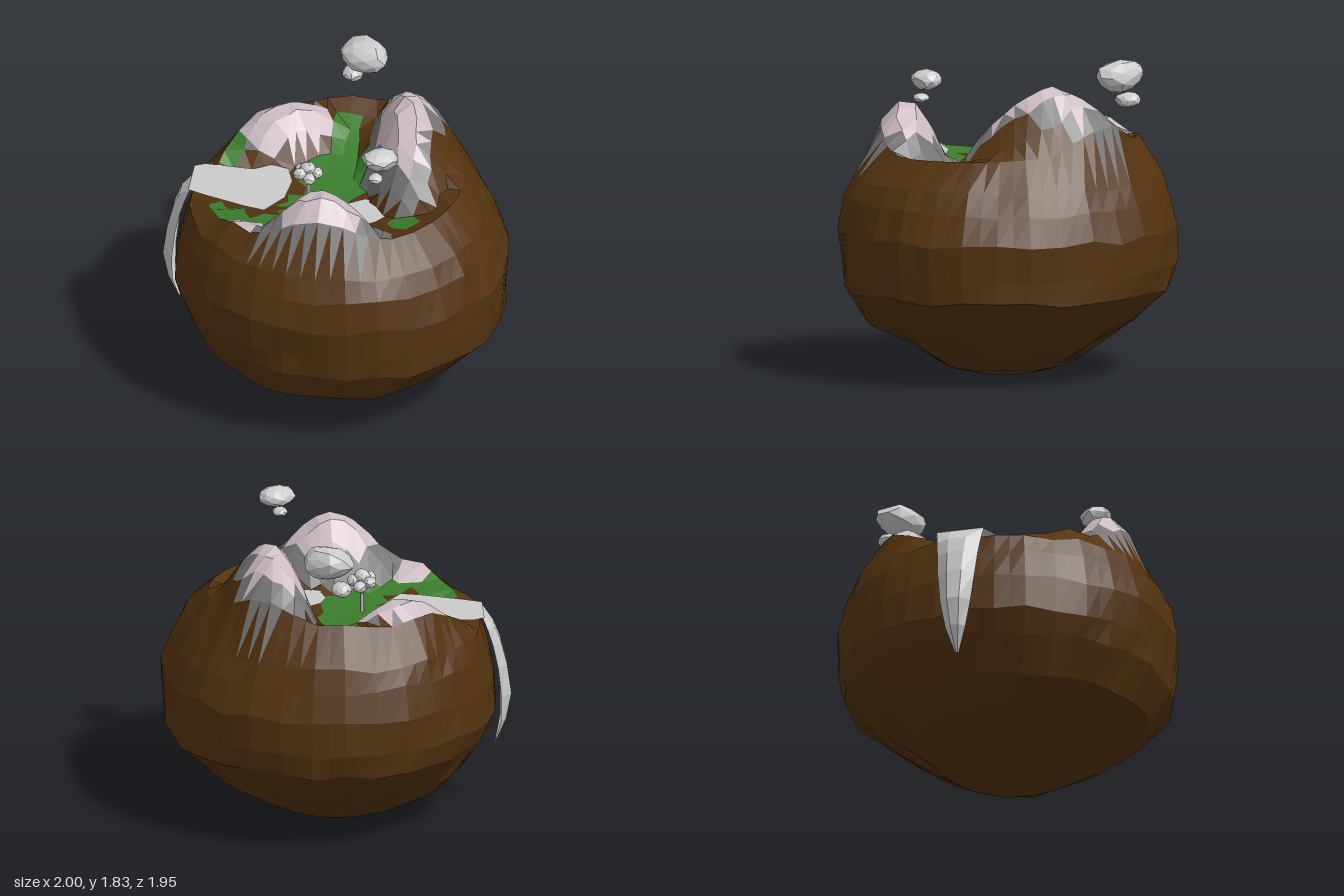
import * as THREE from 'three';

const N = 16, SEG = N * 4, RIM = 0.74;
const hash = (a, b, c = 0) => {
  const s = Math.sin(a * 127.1 + b * 311.7 + c * 74.7) * 43758.5453;
  return (s - Math.floor(s)) * 2 - 1;
};
const material = (color, side = THREE.FrontSide) =>
  new THREE.MeshStandardMaterial({ color, flatShading: true, side });

// Side rows: height, then radius towards +x, +z, -x, -z
const SIDE = [
  [0.01, 0.18, 0.2, 0.1, 0.15], [0.06, 0.39, 0.37, 0.41, 0.34],
  [0.19, 0.65, 0.56, 0.62, 0.52], [0.32, 0.79, 0.82, 0.75, 0.72],
  [0.52, 0.98, 0.93, 0.86, 0.92], [0.65, 0.985, 0.95, 0.92, 0.96],
  [0.86, 1.0, 0.97, 0.91, 0.97], [1.03, 0.93, 0.94, 0.87, 0.92],
  [1.15, 0.86, 0.88, 0.83, 0.88],
];
// Rim height every 45 degrees, starting at +x and turning to +z
const RIM_Y = [1.32, 1.3, 1.31, 1.24, 1.17, 1.31, 1.39, 1.36];

// Peaks: centre, half length, inner and outer half width, angle, height, snow and rock limits
const PEAKS = [
  { x: 0.37, z: -0.22, a: 0.51, b: 0.23, out: 0.32, turn: 1.35, h: 0.49, snow: 0.66, rock: 0.95 },
  { x: -0.01, z: 0.58, a: 0.36, b: 0.23, out: 0.23, turn: 0, h: 0.33, snow: 0.7, rock: 1.1 },
  { x: -0.34, z: -0.46, a: 0.33, b: 0.2, out: 0.2, turn: -0.42, h: 0.19, snow: 0.78, rock: 0.84 },
  { x: -0.47, z: 0.53, a: 0.16, b: 0.12, out: 0.12, turn: 0, h: 0.05, snow: 0.95, rock: 0.95 },
];
// Grass patches: centre x, z and half sizes
const GRASS = [
  [0, -0.5, 0.09, 0.14], [-0.02, -0.15, 0.19, 0.24], [-0.11, 0.15, 0.18, 0.23],
  [-0.26, 0.37, 0.19, 0.11], [-0.65, 0.33, 0.18, 0.15], [0.45, 0.33, 0.09, 0.13],
  [-0.68, -0.3, 0.14, 0.08],
];

function reach(p, x, z) {
  const c = Math.cos(p.turn), s = Math.sin(p.turn), dx = x - p.x, dz = z - p.z;
  const across = dz * c - dx * s;
  return Math.hypot((dx * c + dz * s) / p.a, across / (across < 0 ? p.out : p.b));
}

// Bowl-shaped plateau plus the peaks, with a bed for the large lake
function height(x, z) {
  const t = ((Math.atan2(z, x) / (Math.PI / 4)) + 8) % 8, k = Math.floor(t);
  const rim = THREE.MathUtils.lerp(RIM_Y[k % 8], RIM_Y[(k + 1) % 8], t - k);
  let y = THREE.MathUtils.lerp(1.16, rim, Math.min(1, Math.hypot(x, z) / RIM) ** 2);
  for (const p of PEAKS) y += p.h * Math.max(0, 1 - reach(p, x, z) ** 1.6);
  return x < -0.25 && Math.abs(z) < 0.22 ? Math.min(y, 1.17) : y;
}

function groundType(x, y, z) {
  if (y < 1 || (y < 1.25 && Math.hypot(x, z) > 0.73)) return 'soil';
  for (const p of PEAKS) {
    const e = reach(p, x, z);
    if (e < p.snow && x < 0.51) return 'snow';
    if (e < p.rock && x < 0.57) return 'rock';
  }
  return GRASS.some(([gx, gz, a, b]) => Math.hypot((x - gx) / a, (z - gz) / b) < 1) ? 'grass' : 'soil';
}

// Square grid coordinates (-1 to 1) bent onto a disc
function onDisc(a, b) {
  if (!a && !b) return [0, 0];
  const wide = Math.abs(a) > Math.abs(b), r = wide ? a : b;
  const t = wide ? (Math.PI / 4) * (b / a) : Math.PI / 2 - (Math.PI / 4) * (a / b);
  return [r * Math.cos(t), r * Math.sin(t)];
}

// Every other corner of a ring is the midpoint of its neighbours, for broad facets
function ring(place) {
  const row = Array.from({ length: SEG }, (_, j) => place((j / SEG) * Math.PI * 2, j));
  for (let j = 1; j < SEG; j += 2) row[j].lerpVectors(row[j - 1], row[(j + 1) % SEG], 0.5);
  return row;
}

function buildIsland(group) {
  const faces = { soil: [], grass: [], rock: [], snow: [] };
  const tri = (a, b, c) => {
    const m = a.clone().add(b).add(c).divideScalar(3);
    const list = faces[groundType(m.x, m.y, m.z)];
    for (const v of [a, b, c]) list.push(v.x, v.y, v.z);
  };

  // Boulder side, from the underside up to the rim
  const rows = [ring(() => new THREE.Vector3(0.04, 0, 0.03))];
  SIDE.forEach(([y, px, pz, nx, nz], i) => rows.push(ring((t, j) => {
    const c = Math.cos(t), s = Math.sin(t);
    let r = (c > 0 ? px : nx) * c * c + (s > 0 ? pz : nz) * s * s + 0.01 * hash(i, j);
    if (c > 0 && s > 0) r += (i > 3 ? 0.1 : 0.06) * c * s;
    return new THREE.Vector3(r * c, y + (i > 1 ? 0.02 * hash(j, i, 2) : 0), r * s);
  })));
  const rim = ring((t) => {
    const x = RIM * Math.cos(t), z = RIM * Math.sin(t);
    return new THREE.Vector3(x, height(x, z), z);
  });
  rows.push(rim);
  for (let i = 0; i < rows.length - 1; i++) {
    for (let j = 0; j < SEG; j++) {
      const k = (j + 1) % SEG;
      if (i > 0) tri(rows[i][j], rows[i + 1][j], rows[i][k]);
      tri(rows[i][k], rows[i + 1][j], rows[i + 1][k]);
    }
  }

  // Plateau and peaks
  const spot = (i, k) => {
    const a = (2 * i) / N - 1, b = (2 * k) / N - 1, [x, z] = onDisc(a, b);
    if (Math.max(Math.abs(a), Math.abs(b)) === 1) {
      return rim[(Math.round((Math.atan2(z, x) / (2 * Math.PI)) * SEG) + SEG) % SEG];
    }
    const u = x * RIM + 0.016 * hash(i, k, 5), v = z * RIM + 0.016 * hash(k, i, 7);
    return new THREE.Vector3(u, height(u, v), v);
  };
  for (let i = 0; i < N; i++) {
    for (let k = 0; k < N; k++) {
      const a = spot(i, k), b = spot(i + 1, k), c = spot(i, k + 1), d = spot(i + 1, k + 1);
      if ((i < N / 2) === (k < N / 2)) {
        tri(a, c, d);
        tri(a, d, b);
      } else {
        tri(a, c, b);
        tri(b, c, d);
      }
    }
  }

  const colors = { soil: 0x54330f, grass: 0x3a7d2c, rock: 0x777777, snow: 0xcdbcc4 };
  for (const name in faces) {
    const g = new THREE.BufferGeometry();
    g.setAttribute('position', new THREE.Float32BufferAttribute(faces[name], 3));
    g.computeVertexNormals();
    add(group, name, g, material(colors[name]));
  }
}

function add(parent, name, geometry, mat) {
  const mesh = new THREE.Mesh(geometry, mat);
  mesh.name = name;
  parent.add(mesh);
  return mesh;
}

// Faceted lump with uneven corners
function lump(parent, name, mat, [x, y, z], [sx, sy, sz], turn = 0) {
  const g = new THREE.IcosahedronGeometry(1, 1), p = g.attributes.position;
  const v = new THREE.Vector3();
  for (let i = 0; i < p.count; i++) {
    v.fromBufferAttribute(p, i);
    const q = v.toArray().map((n) => Math.round(n * 50) / 50 + 0);
    v.multiplyScalar(1 + 0.09 * hash(q[0] + x, q[1] + y, q[2] + z));
    p.setXYZ(i, v.x, v.y, v.z);
  }
  g.scale(sx, sy, sz);
  g.computeVertexNormals();
  const m = add(parent, name, g, mat);
  m.position.set(x, y, z);
  m.rotation.y = turn;
}

// Flat sheet of water from an outline in x and z
function lake(parent, name, outline, y, mat) {
  const g = new THREE.ShapeGeometry(new THREE.Shape(outline.map(([x, z]) => new THREE.Vector2(x, -z))));
  g.rotateX(-Math.PI / 2);
  add(parent, name, g, mat).position.y = y;
}

export function createModel() {
  const group = new THREE.Group();
  group.name = 'floatingIsland';
  buildIsland(group);
  const grey = material(0xcccccc), water = material(0xcccccc, THREE.DoubleSide);

  // Lakes
  lake(group, 'largeLake', [[-0.84, -0.17], [-0.78, -0.2], [-0.5, -0.18], [-0.4, -0.24], [-0.3, -0.21],
    [-0.26, -0.08], [-0.28, 0.1], [-0.38, 0.25], [-0.5, 0.22], [-0.75, 0.13], [-0.84, 0.09]], 1.2, water);
  lake(group, 'smallLake', [[0.05, 0.2], [0.09, 0.11], [0.18, 0.05], [0.28, 0.08], [0.35, 0.2],
    [0.33, 0.31], [0.22, 0.35], [0.08, 0.32]], 1.2, water);

  // Waterfall: centre x, edge x, height, half width
  const fall = [[-0.83, -0.83, 1.2, 0.14], [-0.9, -0.86, 1.12, 0.13], [-0.94, -0.89, 1.02, 0.12],
    [-0.975, -0.92, 0.88, 0.11], [-1.0, -0.94, 0.7, 0.09], [-0.97, -0.94, 0.54, 0.06], [-0.91, -0.905, 0.39, 0.01]];
  const pos = [], idx = [];
  fall.forEach(([cx, ex, y, w], i) => {
    const z = -0.04;
    pos.push(ex, y, z - w, cx, y, z - w * 0.4, cx, y, z + w * 0.4, ex, y, z + w);
    if (i) for (let k = 0; k < 3; k++) {
      const a = (i - 1) * 4 + k, b = i * 4 + k;
      idx.push(a, b, a + 1, a + 1, b, b + 1);
    }
  });
  const fg = new THREE.BufferGeometry();
  fg.setAttribute('position', new THREE.Float32BufferAttribute(pos, 3));
  fg.setIndex(idx);
  fg.computeVertexNormals();
  add(group, 'waterfall', fg, water);

  // Hovering boulders
  lump(group, 'frontBoulder', grey, [0.32, 1.735, 0.455], [0.105, 0.06, 0.093], 0.4);
  lump(group, 'frontPebble', grey, [0.3, 1.625, 0.49], [0.042, 0.027, 0.047]);
  lump(group, 'backBoulder', grey, [0.085, 1.735, -0.64], [0.16, 0.096, 0.117], -0.65);
  lump(group, 'backPebble', grey, [0.01, 1.585, -0.68], [0.062, 0.045, 0.072]);

  // Tree: trunk, branches and leaf clumps
  const tree = new THREE.Group();
  tree.name = 'tree';
  tree.position.set(-0.15, 1.165, 0.06);
  group.add(tree);
  const limb = (name, from, to, r) => {
    const curve = new THREE.LineCurve3(new THREE.Vector3(...from), new THREE.Vector3(...to));
    add(tree, name, new THREE.TubeGeometry(curve, 1, r, 5), grey);
  };
  limb('trunk', [0, 0, 0], [0, 0.14, 0], 0.012);
  for (let i = 0; i < 5; i++) {
    const a = i * 1.257, c = Math.cos(a), s = Math.sin(a), y = 0.18 + 0.02 * hash(i, 3);
    limb('branch', [0, 0.11, 0], [0.05 * c, y, 0.055 * s], 0.007);
    lump(tree, 'leaves', grey, [0.052 * c, y + 0.01, 0.06 * s], [0.038, 0.034, 0.038]);
  }
  lump(tree, 'leaves', grey, [0, 0.22, 0], [0.045, 0.04, 0.045]);
  return group;
}
